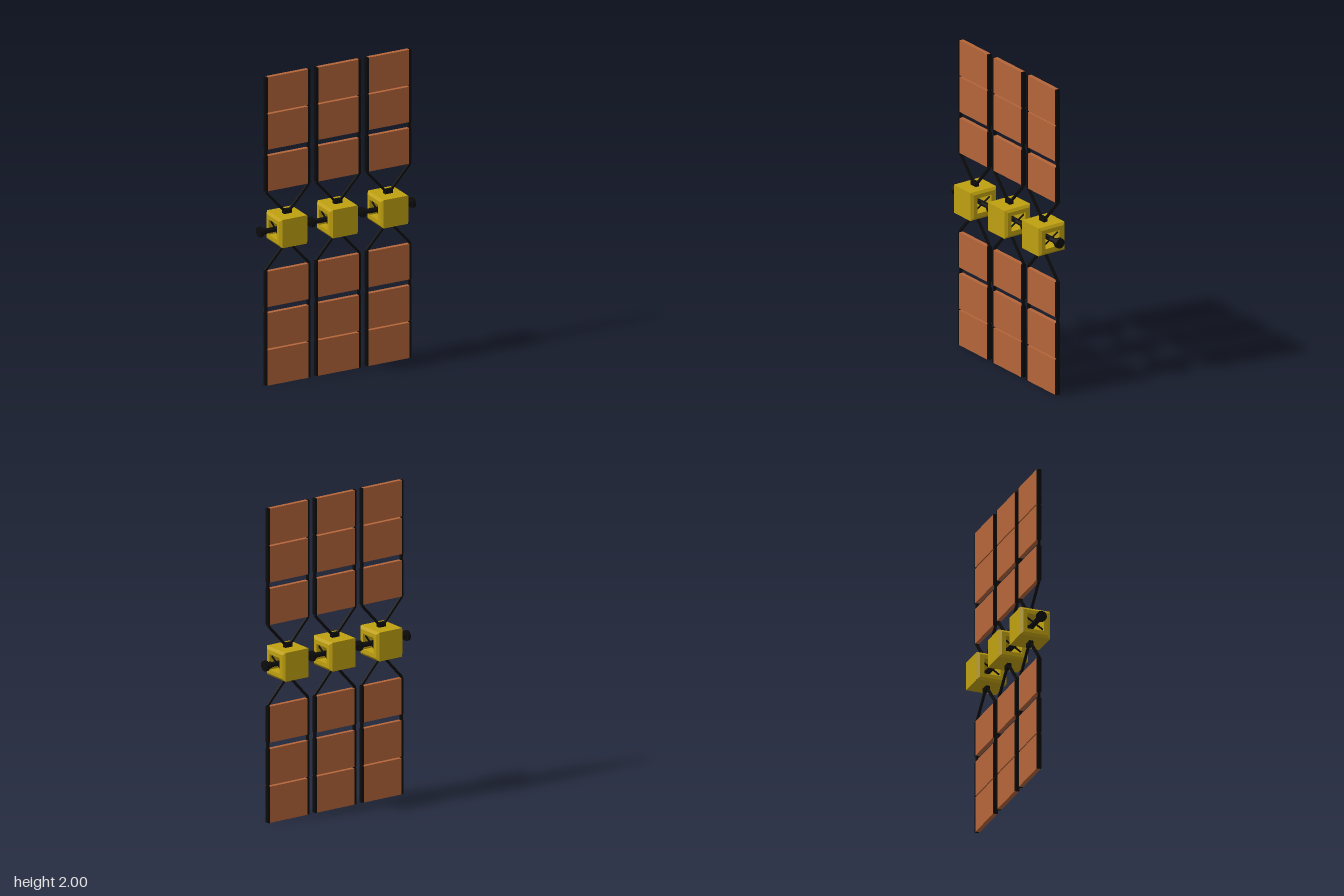
import * as THREE from 'three';

const gold = new THREE.MeshStandardMaterial({ color: 0xbfa010, flatShading: true });
const brown = new THREE.MeshStandardMaterial({ color: 0xb5653a });
const black = new THREE.MeshStandardMaterial({ color: 0x0c0c0c });

function add(parent, name, geometry, material, x = 0, y = 0, z = 0) {
  const mesh = new THREE.Mesh(geometry, material);
  mesh.name = name;
  mesh.position.set(x, y, z);
  parent.add(mesh);
  return mesh;
}

const box = (w, h, d) => new THREE.BoxGeometry(w, h, d);

// Square bar between two points
function strut(parent, name, a, b, size) {
  const dir = b.clone().sub(a);
  const mesh = add(parent, name, box(size, dir.length(), size), black);
  mesh.position.copy(a).addScaledVector(dir, 0.5);
  mesh.quaternion.setFromUnitVectors(new THREE.Vector3(0, 1, 0), dir.normalize());
  return mesh;
}

// Hollow square body, open along x, with chamfered rims
function bodyGeometry() {
  const r = Math.SQRT2;
  const profile = [
    [0.053, -0.098], [0.08, -0.098], [0.097, -0.085], [0.097, 0.085],
    [0.08, 0.098], [0.053, 0.098], [0.053, -0.098],
  ].map(([half, t]) => new THREE.Vector2(half * r, t));
  const g = new THREE.LatheGeometry(profile, 4).toNonIndexed();
  g.rotateY(Math.PI / 4);
  g.rotateZ(-Math.PI / 2);
  g.scale(1, 0.945, 1);
  g.computeVertexNormals();
  return g;
}

// One wing rising from the body centre: hub, two arms and three framed panels
function createWing() {
  const wing = new THREE.Group();
  wing.name = 'wing';
  add(wing, 'wingHub', box(0.052, 0.032, 0.026), black, 0, 0.103, 0);
  for (const s of [-1, 1]) {
    strut(wing, 'wingArm', new THREE.Vector3(s * 0.015, 0.105, 0),
      new THREE.Vector3(s * 0.15, 0.255, 0), 0.014);
    add(wing, 'railLink', box(0.014, 0.73, 0.016), black, s * 0.148, 0.62, 0);
  }
  for (const [low, high] of [[0.26, 0.49], [0.53, 0.76], [0.77, 1]]) {
    const y = (low + high) / 2, h = high - low;
    add(wing, 'solarPanel', box(0.284, h, 0.027), brown, 0, y, -0.001);
    for (const s of [-1, 1])
      add(wing, 'panelRail', box(0.015, h, 0.026), black, s * 0.1475, y, 0);
  }
  return wing;
}

// Body, inner cross braces and a wing above and below
function createModule() {
  const module = new THREE.Group();
  module.name = 'module';
  add(module, 'body', bodyGeometry(), gold);
  for (const x of [-0.08, 0.08])
    for (const s of [-1, 1])
      strut(module, 'crossBrace', new THREE.Vector3(x, -0.033 * s, -0.053),
        new THREE.Vector3(x, 0.033 * s, 0.053), 0.008);
  for (const turn of [0, Math.PI]) {
    const wing = createWing();
    wing.rotation.x = turn;
    module.add(wing);
  }
  return module;
}

export function createModel() {
  const model = new THREE.Group();
  model.name = 'solarStation';
  for (const i of [-1, 0, 1]) {
    const module = createModule();
    module.position.set(0.01 + i * 0.35, 1, 0);
    model.add(module);
  }

  // Central spine running through every body
  const spine = new THREE.CylinderGeometry(0.018, 0.018, 1.06, 12).rotateZ(Math.PI / 2);
  spine.scale(1, 0.85, 1);
  add(model, 'spine', spine, black, 0, 1, 0);

  // Docking collars between bodies and at both ends
  for (const x of [-0.527, -0.171, 0.18, 0.526]) {
    const collar = new THREE.CylinderGeometry(0.033, 0.033, 0.021, 12).rotateZ(Math.PI / 2);
    add(model, 'collar', collar, black, x, 1, 0);
    const sleeve = new THREE.CylinderGeometry(0.021, 0.021, 0.05, 12).rotateZ(Math.PI / 2);
    add(model, 'sleeve', sleeve, black, x - Math.sign(x) * (Math.abs(x) > 0.4 ? 0.015 : 0), 1, 0);
  }
  return model;
}
